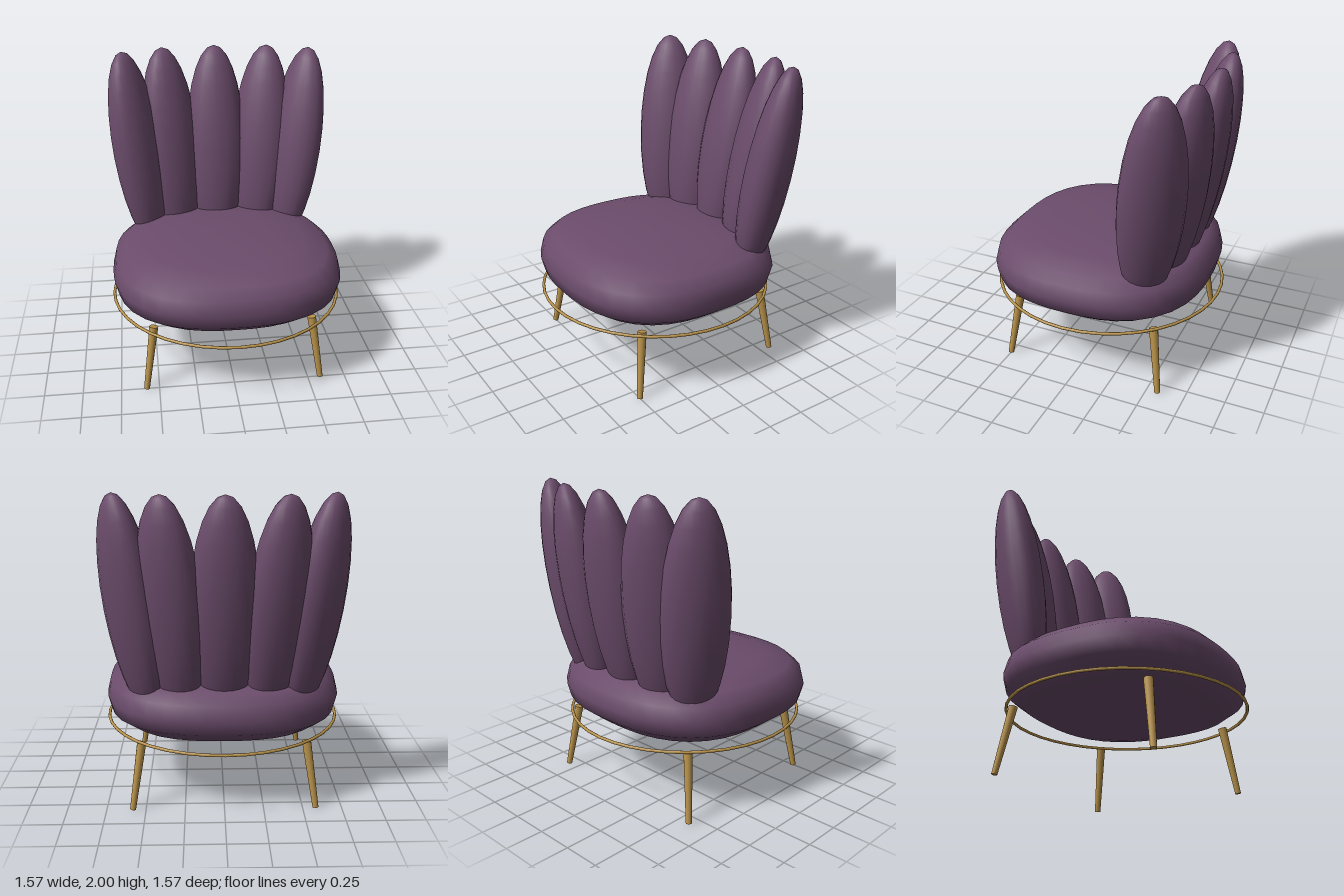
import * as THREE from 'three';
import { mergeVertices } from 'three/addons/utils/BufferGeometryUtils.js';

const velvet = new THREE.MeshStandardMaterial({ color: 0x6b4c6b });
velvet.name = 'plum velvet';
const brass = new THREE.MeshStandardMaterial({ color: 0xb8924a });
brass.name = 'brass';

function addMesh(parent, name, geometry, material) {
  const mesh = new THREE.Mesh(geometry, material);
  mesh.name = name;
  parent.add(mesh);
  return mesh;
}

// Plump cushion: a lathed profile with its round plan pushed to a soft square
function cushionGeometry() {
  const profile = [
    [0, 0.425], [0.25, 0.43], [0.47, 0.437], [0.68, 0.458], [0.84, 0.485], [0.97, 0.56],
    [1, 0.65], [0.97, 0.745], [0.88, 0.808], [0.68, 0.85], [0.42, 0.872], [0.2, 0.882], [0, 0.885],
  ].map(([r, y]) => new THREE.Vector2(r, y));
  const geo = new THREE.LatheGeometry(profile, 40);
  const pos = geo.attributes.position;
  const n = 2.55;
  for (let i = 0; i < pos.count; i++) {
    const x = pos.getX(i), z = pos.getZ(i), r = Math.hypot(x, z);
    if (r < 1e-6) continue;
    const f = (Math.abs(x / r) ** n + Math.abs(z / r) ** n) ** (-1 / n);
    pos.setX(i, x * f * 0.77);
    pos.setZ(i, z * f * 0.733);
  }
  geo.deleteAttribute('uv');
  geo.deleteAttribute('normal');
  const smooth = mergeVertices(geo, 1e-4);
  smooth.computeVertexNormals();
  return smooth;
}

// Tapered leg between two points
function addLeg(parent, name, top, foot) {
  const axis = top.clone().sub(foot);
  const leg = addMesh(parent, name, new THREE.CylinderGeometry(0.029, 0.019, axis.length(), 12), brass);
  leg.position.copy(top).add(foot).multiplyScalar(0.5);
  leg.quaternion.setFromUnitVectors(new THREE.Vector3(0, 1, 0), axis.normalize());
}

export function createModel() {
  const chair = new THREE.Group();
  chair.name = 'petalChair';

  addMesh(chair, 'seatCushion', cushionGeometry(), velvet);

  // Backrest petals, fanned around the rear and leaning outwards
  const backrest = new THREE.Group();
  backrest.name = 'backrest';
  chair.add(backrest);
  const petalGeo = new THREE.SphereGeometry(1, 20, 14).scale(0.21, 0.71, 0.15);
  const addPetal = (name, x, z, turn) => {
    const petal = addMesh(backrest, name, petalGeo, velvet);
    petal.position.set(x, 1.3, z);
    petal.rotation.set(-0.168, turn, 0, 'YXZ');
  };
  addPetal('centrePetal', 0, -0.595, 0);
  for (const [side, s] of [['left', 1], ['right', -1]]) {
    addPetal(side + 'InnerPetal', s * 0.32, -0.572, -s * 0.44);
    addPetal(side + 'OuterPetal', s * 0.557, -0.495, -s * 0.9);
  }

  // Brass ring under the cushion
  const ring = addMesh(chair, 'baseRing', new THREE.TorusGeometry(0.773, 0.01, 8, 40), brass);
  ring.rotation.x = Math.PI / 2;
  ring.position.y = 0.46;

  // Four splayed legs
  for (const [side, sx] of [['Left', 1], ['Right', -1]]) {
    for (const [end, sz] of [['front', 1], ['back', -1]]) {
      addLeg(chair, end + side + 'Leg',
        new THREE.Vector3(sx * 0.52, 0.44, sz * 0.478 - 0.037),
        new THREE.Vector3(sx * 0.583, 0.004, sz * 0.538 - 0.037));
    }
  }
  return chair;
}
